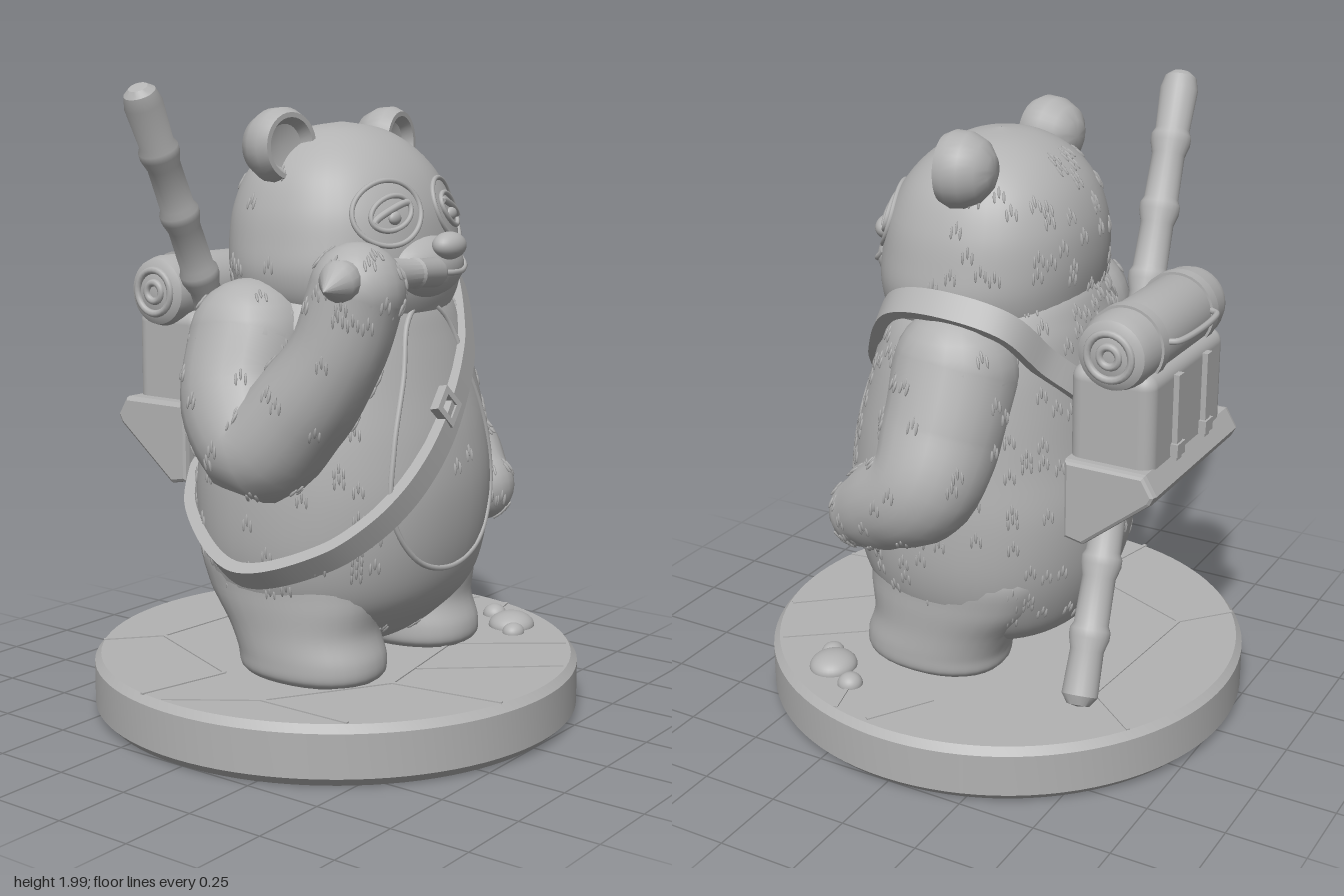
import * as THREE from 'three';
import { mergeGeometries, toCreasedNormals } from 'three/addons/utils/BufferGeometryUtils.js';
import { RoundedBoxGeometry } from 'three/addons/geometries/RoundedBoxGeometry.js';

const V = (x, y, z) => new THREE.Vector3(x, y, z);
const POWER = 2.2;

// Smoothly resamples a table of [y, halfWidth, zFront, zBack]
function smoothRows(table, steps = 6) {
  const rows = [], at = i => table[Math.min(Math.max(i, 0), table.length - 1)];
  for (let k = 0; k <= (table.length - 1) * steps; k++) {
    const i = Math.floor(k / steps), t = k / steps - i;
    rows.push(at(i).map((b, c) => {
      const a = at(i - 1)[c], d = at(i + 1)[c], e = at(i + 2)[c];
      return 0.5 * (2 * b + (d - a) * t + (2 * a - 5 * b + 4 * d - e) * t * t + (3 * b - a - 3 * d + e) * t ** 3);
    }));
  }
  return rows;
}

// Skin over rings of points; each ring closes on itself
function skin(rings) {
  const n = rings[0].length, index = [];
  for (let i = 0; i < rings.length - 1; i++) for (let j = 0; j < n; j++) {
    const a = i * n + j, c = i * n + (j + 1) % n;
    index.push(a, a + n, c, a + n, c + n, c);
  }
  const g = new THREE.BufferGeometry().setFromPoints(rings.flat());
  g.setIndex(index);
  g.computeVertexNormals();
  return g;
}

function loft(rows, cx = 0, n = 48) {
  const e = 2 / POWER, sp = v => Math.sign(v) * Math.abs(v) ** e;
  return skin(rows.map(([y, w, f, b]) => Array.from({ length: n }, (_, j) => {
    const a = j / n * Math.PI * 2;
    return V(cx + w * sp(Math.cos(a)), y, (f + b) / 2 + (f - b) / 2 * sp(Math.sin(a)));
  })));
}

// Depth of a lofted surface at x, y (side 1 is front, -1 is back)
function depth(rows, x, y, side = 1) {
  const i = Math.max(1, rows.findIndex(r => r[0] >= y)), p = rows[i - 1], q = rows[i];
  const t = (y - p[0]) / (q[0] - p[0]);
  const [, w, f, b] = p.map((v, c) => v + (q[c] - v) * t);
  return (f + b) / 2 + side * (f - b) / 2 * Math.max(0, 1 - Math.abs(x / w) ** POWER) ** (1 / POWER);
}

const tube = (pts, r, closed = false, seg = 48) =>
  new THREE.TubeGeometry(new THREE.CatmullRomCurve3(pts, closed), seg, r, 8, closed);

// Tapered limb with round ends
function limb(pts, radii) {
  const curve = new THREE.CatmullRomCurve3(pts), N = 28, M = 20;
  const g = new THREE.TubeGeometry(curve, N, 1, M), p = g.attributes.position, v = V();
  for (let k = 0; k < p.count; k++) {
    const u = Math.floor(k / (M + 1)) / N, f = u * (radii.length - 1), i = Math.min(Math.floor(f), radii.length - 2);
    const r = THREE.MathUtils.lerp(radii[i], radii[i + 1], THREE.MathUtils.smoothstep(f - i, 0, 1));
    const c = curve.getPointAt(u);
    v.fromBufferAttribute(p, k).sub(c).multiplyScalar(r).add(c);
    p.setXYZ(k, v.x, v.y, v.z);
  }
  const ball = (c, r) => new THREE.SphereGeometry(r, 20, 14).translate(c.x, c.y, c.z);
  return mergeGeometries([g, ball(pts[0], radii[0]), ball(pts.at(-1), radii.at(-1))]);
}

const blob = (x, y, z, a, b, c) => new THREE.SphereGeometry(1, 32, 20).scale(a, b, c).translate(x, y, z);
const lathe = (pts, n = 32) => toCreasedNormals(
  new THREE.LatheGeometry(pts.map(p => new THREE.Vector2(...p)), n), 0.6);

// Stands a geometry made along y from a to b
function along(g, a, b) {
  const q = new THREE.Quaternion().setFromUnitVectors(V(0, 1, 0), b.clone().sub(a).normalize());
  return g.applyQuaternion(q).translate(a.x, a.y, a.z);
}

// Small tufts of three hairs scattered on a surface
function tufts(g, count, keep, seed) {
  const rnd = () => (seed = (seed * 16807) % 2147483647) / 2147483647;
  const p = g.attributes.position, nm = g.attributes.normal, out = [];
  for (let k = 0; k < count; k++) {
    const i = Math.floor(rnd() * p.count), c = V().fromBufferAttribute(p, i), n = V().fromBufferAttribute(nm, i);
    if (Math.abs(n.y) > 0.8 || !keep(c)) continue;
    const side = V(0, 1, 0).cross(n).normalize(), up = n.clone().cross(side);
    for (let h = -1; h <= 1; h++) out.push(new THREE.SphereGeometry(1, 5, 4).scale(0.005, 0.02, 0.006)
      .applyMatrix4(new THREE.Matrix4().makeBasis(side, up, n))
      .translate(...c.clone().addScaledVector(side, h * 0.014).addScaledVector(up, h ? -0.008 : 0.008)));
  }
  return mergeGeometries(out);
}

export function createModel() {
  const root = new THREE.Group();
  const grey = new THREE.MeshStandardMaterial({ color: 0xb2b2b2 });
  grey.name = 'stone grey';
  const add = (name, g) => {
    const m = new THREE.Mesh(g, grey);
    m.name = name;
    root.add(m);
    return m;
  };

  // Round paved base
  add('base', lathe([[0, 0], [0.75, 0], [0.78, 0.03], [0.78, 0.165], [0.76, 0.188], [0, 0.188]], 96));
  const cracks = [[-0.43, -0.63, -0.28, -0.5], [0.41, -0.64, 0.27, -0.46], [-0.75, -0.16, -0.45, -0.09],
    [-0.75, -0.08, -0.58, 0.16], [-0.58, 0.16, -0.58, 0.48], [0.74, 0.08, 0.55, -0.04], [-0.17, 0.74, -0.22, 0.38],
    [0.24, 0.71, -0.06, 0.36], [0.45, 0.6, 0.22, 0.3], [0.55, 0.25, 0.73, 0.2], [-0.28, -0.5, 0.27, -0.46],
    [-0.45, -0.09, -0.28, -0.5], [-0.58, 0.16, -0.22, 0.38], [-0.22, 0.38, 0.22, 0.3]];
  add('pavingLines', mergeGeometries(cracks.map(([a, b, c, d]) =>
    new THREE.BoxGeometry(Math.hypot(c - a, d - b), 0.006, 0.012)
      .rotateY(-Math.atan2(d - b, c - a)).translate((a + c) / 2, 0.189, (b + d) / 2))));
  add('pebbles', mergeGeometries([blob(0.52, 0.19, 0.35, 0.08, 0.045, 0.075),
    blob(0.59, 0.19, 0.24, 0.04, 0.035, 0.04), blob(0.45, 0.19, 0.4, 0.04, 0.03, 0.035)]));

  // Body and legs
  const body = smoothRows([[0.24, 0.1, 0.15, -0.12], [0.27, 0.26, 0.24, -0.22], [0.33, 0.37, 0.32, -0.3],
    [0.43, 0.44, 0.41, -0.35], [0.57, 0.48, 0.455, -0.385], [0.75, 0.49, 0.47, -0.395], [0.92, 0.48, 0.45, -0.37],
    [1.08, 0.46, 0.41, -0.35], [1.22, 0.43, 0.37, -0.33], [1.33, 0.38, 0.33, -0.31], [1.43, 0.28, 0.25, -0.26],
    [1.5, 0.1, 0.1, -0.1]]);
  const bodyGeo = loft(body);
  add('body', bodyGeo);
  const leg = smoothRows([[0.185, 0.16, 0.32, -0.11], [0.21, 0.185, 0.345, -0.13], [0.26, 0.19, 0.345, -0.14],
    [0.34, 0.19, 0.32, -0.18], [0.45, 0.195, 0.33, -0.26], [0.58, 0.19, 0.3, -0.28], [0.7, 0.1, 0.1, -0.1]]);
  add('leftLeg', loft(leg, 0.26, 32));
  add('rightLeg', loft(leg, -0.26, 32));

  // Arms: the right one raised to the mouth, the left one on the belly
  const rightArm = limb([V(-0.37, 1.22, -0.04), V(-0.44, 1.05, -0.02), V(-0.48, 0.92, 0.08), V(-0.46, 1.05, 0.22),
    V(-0.43, 1.22, 0.33), V(-0.41, 1.4, 0.385)], [0.19, 0.185, 0.165, 0.155, 0.14, 0.14]);
  const leftArm = limb([V(0.36, 1.22, -0.03), V(0.43, 1.05, -0.02), V(0.495, 0.89, 0.01), V(0.46, 0.78, 0.16),
    V(0.385, 0.69, 0.3)], [0.195, 0.185, 0.17, 0.145, 0.115]);
  add('rightArm', rightArm);
  add('leftArm', leftArm);

  // Head with muzzle
  const head = smoothRows([[1.21, 0.12, 0.22, -0.1], [1.25, 0.27, 0.31, -0.2], [1.33, 0.355, 0.355, -0.26],
    [1.42, 0.385, 0.37, -0.285], [1.52, 0.375, 0.365, -0.295], [1.62, 0.352, 0.345, -0.285],
    [1.72, 0.305, 0.295, -0.245], [1.8, 0.225, 0.22, -0.175], [1.85, 0.13, 0.13, -0.085], [1.87, 0.001, 0.025, 0.02]]);
  const headGeo = loft(head);
  add('head', headGeo);
  add('muzzle', blob(0, 1.44, 0.32, 0.17, 0.1, 0.115));
  add('nose', blob(0, 1.505, 0.425, 0.066, 0.042, 0.045));
  add('mouth', tube([V(-0.09, 1.43, 0.415), V(0, 1.425, 0.438), V(0.08, 1.425, 0.42), V(0.13, 1.44, 0.395),
    V(0.15, 1.47, 0.36)], 0.009));

  // Ears and drowsy eyes, mirrored
  for (const s of [1, -1]) {
    const side = s > 0 ? 'left' : 'right';
    const ear = add(side + 'Ear', lathe([[0, -0.095], [0.05, -0.088], [0.09, -0.06], [0.112, -0.015], [0.115, 0.03],
      [0.1, 0.062], [0.085, 0.062], [0.065, 0.03], [0, 0.015]]).rotateX(Math.PI / 2));
    ear.position.set(s * 0.275, 1.8, -0.01);
    ear.rotation.y = s * 0.15;
    const oval = (rx, ry, lift, from = 0, to = 1, n = 24) => Array.from({ length: n }, (_, i) => {
      const a = (from + (to - from) * i / n) * Math.PI * 2, u = rx * Math.cos(a), v = ry * Math.sin(a);
      const x = s * (0.155 + u * 0.92 + v * 0.39), y = 1.605 - u * 0.39 + v * 0.92;
      return V(x, y, depth(head, x, y) + lift);
    });
    add(side + 'EyePatchRim', tube(oval(0.118, 0.09, 0.002), 0.008, true, 64));
    add(side + 'EyeRim', tube(oval(0.075, 0.045, 0.004), 0.008, true, 48));
    add(side + 'Eyelid', tube(oval(0.07, 0.012, 0.006, 0, 0.52), 0.011));
    const px = s * 0.15, py = 1.59;
    add(side + 'Pupil', blob(px, py, depth(head, px, py), 0.026, 0.02, 0.014));
  }

  // Belly patch outline
  const half = [[0.17, 0.57], [0.27, 0.72], [0.25, 0.92], [0.17, 1.12], [0.1, 1.28]];
  const outline = [[0, 0.52], ...half, [0, 1.33], ...half.map(([x, y]) => [-x, y]).reverse()];
  add('bellyPatchRim', tube(outline.map(([x, y]) => V(x, y, depth(body, x, y))), 0.009, true, 96));

  // Fur
  add('bodyFur', tufts(bodyGeo, 420, c => c.z < 0.3 || Math.abs(c.x) > 0.3 || Math.hypot(c.x - 0.04, c.y - 0.82) < 0.1, 11));
  add('headFur', tufts(headGeo, 170, c => c.z < 0.05, 5));
  add('armFur', mergeGeometries([tufts(leftArm, 110, () => true, 7), tufts(rightArm, 110, () => true, 9)]));

  // Diagonal strap round the body, with buckle
  const path = [], strapY = x => 1.0 + 0.945 * x;
  for (let x = -0.42; x <= 0.3; x += 0.09) path.push(V(x, strapY(x), depth(body, x, strapY(x)) + 0.006));
  path.push(V(0.4, 1.4, 0.16), V(0.43, 1.43, 0), V(0.38, 1.38, -0.2));
  for (let x = 0.26; x >= -0.42; x -= 0.09) path.push(V(x, strapY(x), depth(body, x, strapY(x), -1) - 0.006));
  path.push(V(-0.5, 0.53, 0.02));
  const loop = new THREE.CatmullRomCurve3(path, true);
  add('strap', toCreasedNormals(skin(Array.from({ length: 141 }, (_, i) => {
    const p = loop.getPointAt(i / 140 % 1), t = loop.getTangentAt(i / 140 % 1);
    const n = p.clone().sub(V(0, 1, 0.03)).projectOnPlane(t).normalize(), w = n.clone().cross(t);
    return [[-1, 0.018], [1, 0.018], [1, -0.02], [-1, -0.02]].map(([a, b]) =>
      p.clone().addScaledVector(w, a * 0.042).addScaledVector(n, b));
  })), 0.6));
  const square = (P, r) => [[-r, -r], [r, -r], [r, r], [-r, r]].reduce((q, [x, y], i) =>
    (i ? q.lineTo(x, y) : q.moveTo(x, y), q), new P());
  const frame = square(THREE.Shape, 0.046);
  frame.holes.push(square(THREE.Path, 0.026));
  const buckle = add('buckle', new THREE.ExtrudeGeometry(frame, { depth: 0.03, bevelEnabled: false }));
  buckle.position.set(-0.04, 1.02, depth(body, -0.04, 1.02) + 0.006);
  buckle.rotation.set(-0.2, 0, 0.76);

  // Bamboo snack held at the mouth
  add('snack', along(lathe([[0, 0], [0.035, 0.005], [0.045, 0.025], [0.042, 0.11], [0.047, 0.12], [0.042, 0.13],
    [0.05, 0.24], [0.045, 0.42], [0, 0.42]], 20), V(-0.05, 1.43, 0.425), V(-0.5, 1.445, 0.4)));
  add('snackTip', along(lathe([[0, 0], [0.045, 0], [0.062, 0.05], [0.055, 0.075], [0, 0.15]], 16),
    V(-0.485, 1.45, 0.41), V(-0.62, 1.42, 0.43)));

  // Long bamboo staff slung behind the back
  const top = V(-0.545, 1.975, -0.325), foot = V(0.42, 0.225, -0.475), len = top.distanceTo(foot);
  const cane = [[0, 0], [0.035, 0.006], [0.056, 0.035]];
  for (let k = 1; k < 9; k++) {
    const y = len * k / 9;
    cane.push([0.052, y - 0.05], [0.063, y - 0.012], [0.063, y + 0.012], [0.054, y + 0.03]);
  }
  cane.push([0.06, len - 0.06], [0.05, len - 0.02], [0.03, len - 0.003], [0, len]);
  add('staff', along(lathe(cane, 24), foot, top));

  // Backpack with cradle, flaps and straps
  add('pack', new RoundedBoxGeometry(0.54, 0.36, 0.27, 4, 0.045).translate(0.02, 1.09, -0.495));
  const wedge = new THREE.Shape([[0.38, 0.97], [0.62, 0.97], [0.65, 0.92], [0.64, 0.9], [0.43, 0.73], [0.38, 0.74]]
    .map(p => new THREE.Vector2(...p)));
  add('packCradle', new THREE.ExtrudeGeometry(wedge, { depth: 0.6, bevelSize: 0.012, bevelThickness: 0.02, bevelSegments: 2 })
    .rotateY(Math.PI / 2).translate(-0.29, 0, 0));
  for (const x of [-0.09, 0.12]) {
    add('packStrap', new THREE.BoxGeometry(0.035, 0.27, 0.025).translate(x, 1.1, -0.635));
    add('packBuckle', new THREE.BoxGeometry(0.055, 0.04, 0.035).translate(x, 1.0, -0.637));
  }

  // Bedroll with two bands and coiled ends
  const roll = new THREE.Group();
  roll.name = 'bedroll';
  roll.position.set(0.02, 1.33, -0.51);
  const part = (name, g) => roll.add(add(name, g));
  part('bedrollBody', lathe([[0, -0.31], [0.08, -0.31], [0.105, -0.295], [0.115, -0.26], [0.115, 0.26],
    [0.105, 0.295], [0.08, 0.31], [0, 0.31]]).rotateZ(Math.PI / 2));
  for (const s of [-1, 1]) {
    part('bedrollBand', new THREE.CylinderGeometry(0.123, 0.123, 0.04, 32).rotateZ(Math.PI / 2).translate(s * 0.18, 0, 0));
    for (const r of [0.03, 0.07]) part('bedrollCoil',
      new THREE.TorusGeometry(r, 0.012, 8, 28).rotateY(Math.PI / 2).translate(s * 0.31, 0, 0));
  }
  part('bedrollHandle', tube([V(-0.16, 0.02, -0.115), V(-0.14, 0.02, -0.14), V(0.14, 0.02, -0.14), V(0.16, 0.02, -0.115)], 0.01));
  root.add(roll);
  return root;
}
